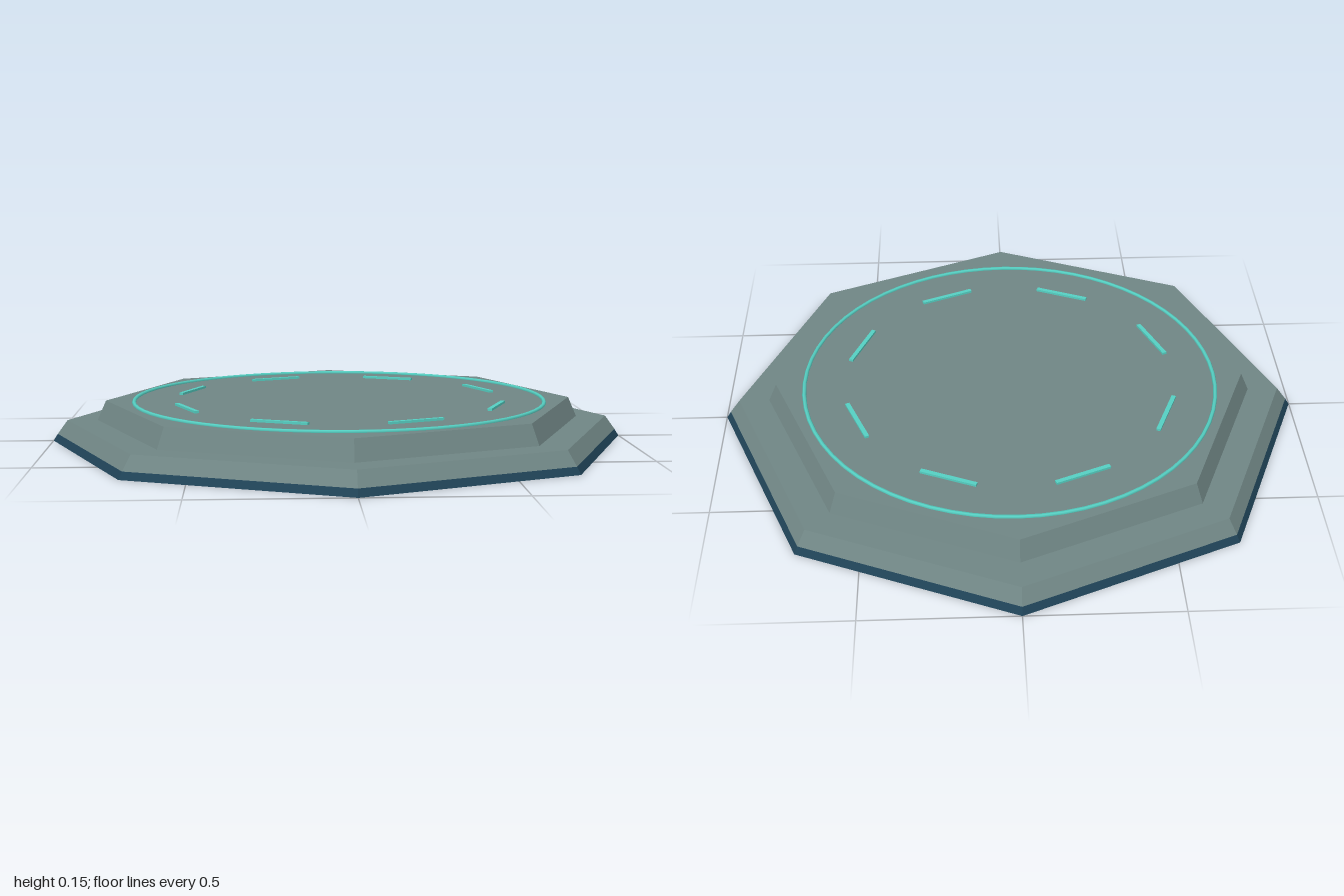
import * as THREE from 'three';

export function createModel() {
  const model = new THREE.Group();
  const mat = (name, color, flatShading) => {
    const m = new THREE.MeshStandardMaterial({ color, flatShading });
    m.name = name;
    return m;
  };
  const stone = mat('greyStone', 0x6f8584, true);
  const navy = mat('darkNavy', 0x1f4256, true);
  const glow = mat('turquoise', 0x55cfc2, false);

  const add = (name, geometry, material, parent = model) => {
    const mesh = new THREE.Mesh(geometry, material);
    mesh.name = name;
    parent.add(mesh);
    return mesh;
  };

  // Octagonal tiers: name, bottom radius, top radius, bottom y, top y
  const tiers = [
    ['baseTrim', 1.0, 0.985, 0, 0.024, navy],
    ['lowerTier', 0.985, 0.95, 0.024, 0.072, stone],
    ['upperTier', 0.845, 0.815, 0.072, 0.14, stone],
  ];
  for (const [name, r0, r1, y0, y1, material] of tiers) {
    add(name, new THREE.CylinderGeometry(r1, r0, y1 - y0, 8), material).position.y = (y0 + y1) / 2;
  }

  // Thin circular inlay on the top
  const ring = add('inlayRing', new THREE.TorusGeometry(0.715, 0.007, 6, 64), glow);
  ring.rotation.x = -Math.PI / 2;
  ring.position.y = 0.142;

  // Eight light bars, one parallel to each side
  const bars = new THREE.Group();
  bars.name = 'lightBars';
  const barGeometry = new THREE.BoxGeometry(0.195, 0.014, 0.015);
  for (let i = 0; i < 8; i++) {
    const a = (i + 0.5) * Math.PI / 4;
    const bar = add('lightBar', barGeometry, glow, bars);
    bar.position.set(Math.sin(a) * 0.566, 0.141, Math.cos(a) * 0.566);
    bar.rotation.y = a;
  }
  model.add(bars);

  return model;
}
